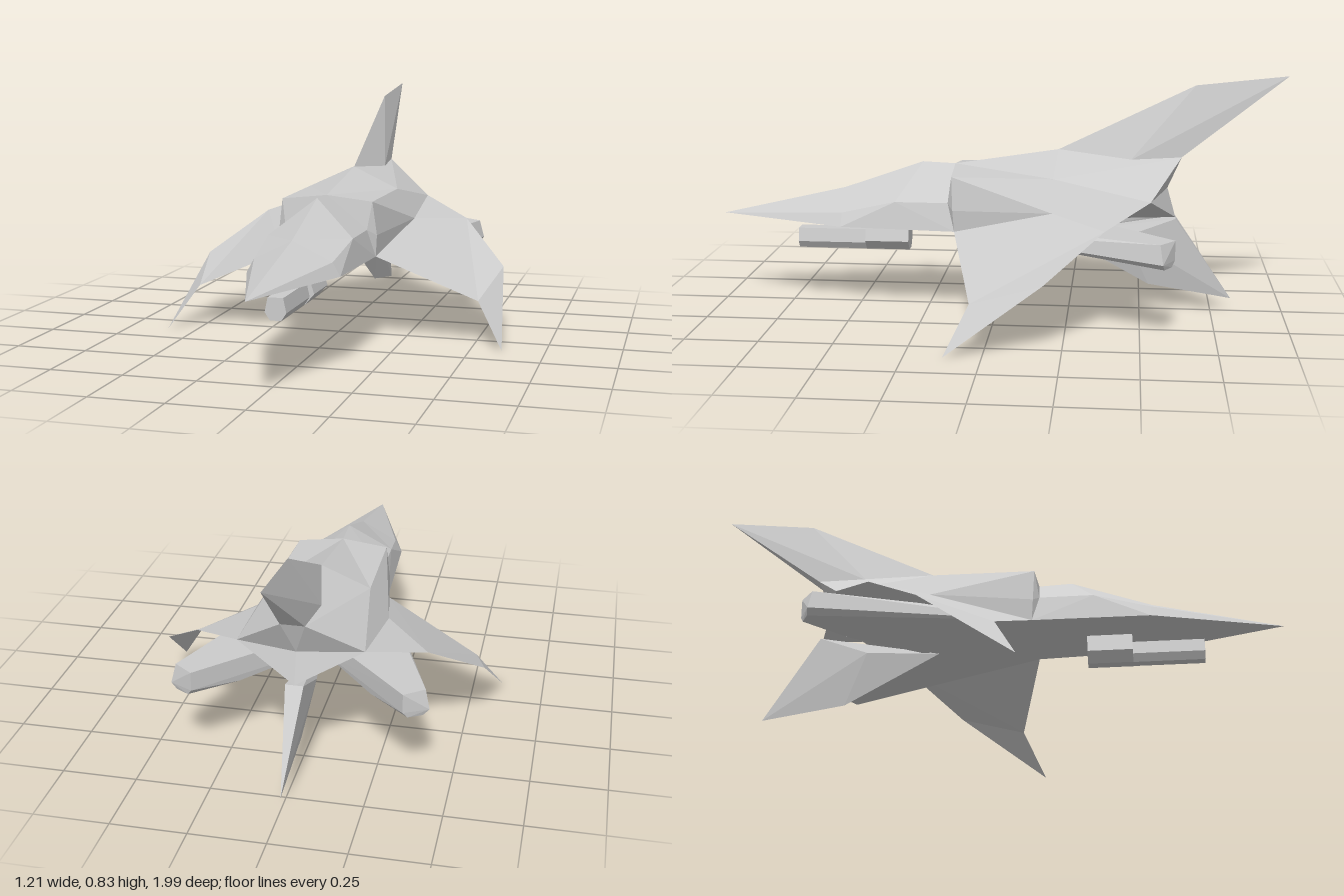
import * as THREE from 'three';
import { ConvexGeometry } from 'three/addons/geometries/ConvexGeometry.js';

const material = new THREE.MeshStandardMaterial({
  color: 0xcccccc, flatShading: true, side: THREE.DoubleSide,
});

function addMesh(group, name, geometry) {
  const mesh = new THREE.Mesh(geometry, material);
  mesh.name = name;
  group.add(mesh);
}

// Faceted surface from named corners; each face is a fan, mirrored on request.
function facets(points, faces, sides = [1, -1]) {
  const pos = [];
  for (const side of sides) {
    for (const face of faces) {
      const c = face.split(' ').map((k) => points[k]);
      for (let i = 1; i < c.length - 1; i++) {
        const tri = side > 0 ? [c[0], c[i], c[i + 1]] : [c[0], c[i + 1], c[i]];
        for (const [x, y, z] of tri) pos.push(x * side, y, z);
      }
    }
  }
  const g = new THREE.BufferGeometry();
  g.setAttribute('position', new THREE.Float32BufferAttribute(pos, 3));
  g.computeVertexNormals();
  return g;
}

// Convex solid around the listed corners, times the listed sides.
function solid(corners, sides = [1, -1]) {
  const pts = [];
  for (const s of sides) {
    for (const [x, y, z] of corners) {
      if (x === 0 && s < 0 && sides.length > 1) continue;
      pts.push(new THREE.Vector3(x * s, y, z));
    }
  }
  return new ConvexGeometry(pts);
}

// Corners of the left half of the craft
const P = {
  // nose
  tip: [0, 0.317, 0.995], canopyFront: [0, 0.42, 0.55], canopyTop: [0, 0.518, 0.27],
  cheek: [0.145, 0.4, 0.35], jaw: [0.13, 0.355, 0.54], chin: [0.155, 0.31, 0.54],
  chinMid: [0, 0.31, 0.54], collar: [0.145, 0.4, 0.165],
  // front ring of the hull
  neck: [0, 0.513, 0.155], shoulder: [0.16, 0.495, 0.15], flank: [0.175, 0.38, 0.145],
  keel: [0.17, 0.305, 0.14], keelMid: [0, 0.305, 0.14],
  // middle and rear of the hull
  spine: [0, 0.57, -0.21], back: [0.165, 0.495, -0.2], root: [0.23, 0.39, -0.2],
  tail: [0.04, 0.555, -0.635], tailMid: [0, 0.56, -0.635], hip: [0.21, 0.43, -0.53],
  recess: [0, 0.44, -0.59], rump: [0, 0.335, -0.62],
  // wing
  trail: [0.39, 0.37, -0.38], bend: [0.56, 0.23, -0.19],
  lead: [0.51, 0.15, 0.05], wingTip: [0.605, 0, 0.125],
};

export function createModel() {
  const model = new THREE.Group();
  model.name = 'spacecraft';

  addMesh(model, 'nose', facets(P, [
    'tip jaw canopyFront', 'canopyFront jaw cheek', 'canopyFront cheek canopyTop',
    'canopyTop cheek collar neck', 'cheek jaw chin', 'cheek chin keel collar',
    'tip chin jaw', 'tip chinMid chin', 'chinMid keelMid keel chin',
  ]));

  // Hull, with a front wall stepping out from the nose
  addMesh(model, 'hull', facets(P, [
    'neck collar shoulder', 'collar flank shoulder', 'collar keel flank',
    'neck shoulder back spine', 'shoulder flank root back', 'flank keel root',
    'back root hip', 'back hip tail', 'spine back tail', 'spine tail tailMid',
    'tail hip recess', 'tail recess tailMid', 'hip rump recess',
    'keelMid rump hip keel',
  ]));

  // Swept wings, drooping to a forward-pointing tip
  const wing = ['root trail hip', 'keel trail root', 'keel lead trail',
    'lead bend trail', 'lead wingTip bend', 'keel hip trail'];
  addMesh(model, 'leftWing', facets(P, wing, [1]));
  addMesh(model, 'rightWing', facets(P, wing, [-1]));

  addMesh(model, 'upperFin', solid([
    [0, 0.57, -0.21], [0.055, 0.545, -0.46], [0.04, 0.555, -0.635],
    [0, 0.8, -0.68], [0, 0.835, -0.995],
  ]));
  addMesh(model, 'lowerFin', solid([
    [0, 0.27, -0.2], [0.035, 0.27, -0.45], [0.03, 0.335, -0.62],
    [0, 0.09, -0.53], [0, 0.045, -0.82],
  ]));

  // Splayed engines, wedging out of the belly from the front of the keel
  const engine = [
    [0, 0.305, 0.14], [0.17, 0.305, 0.14], [0, 0.273, -0.25],
    [0.41, 0.335, -0.56], [0.345, 0.335, -0.61], [0.425, 0.27, -0.57],
    [0.345, 0.27, -0.61], [0.405, 0.25, -0.575], [0.36, 0.25, -0.6],
    [0.22, 0.248, -0.475], [0.28, 0.335, -0.22], [0.02, 0.335, -0.27],
  ];
  addMesh(model, 'leftEngine', solid(engine, [1]));
  addMesh(model, 'rightEngine', solid(engine, [-1]));

  // Chin gun: six-sided breech and slimmer barrel
  const prism = (section, z0, z1) =>
    solid([z0, z1].flatMap((z) => section.map(([x, y]) => [x, y, z])));
  addMesh(model, 'gunBreech',
    prism([[0.02, 0.2], [0.05, 0.235], [0.03, 0.3]], 0.32, 0.475));
  addMesh(model, 'gunBarrel',
    prism([[0.018, 0.2], [0.035, 0.225], [0.025, 0.272]], 0.475, 0.72));

  return model;
}
